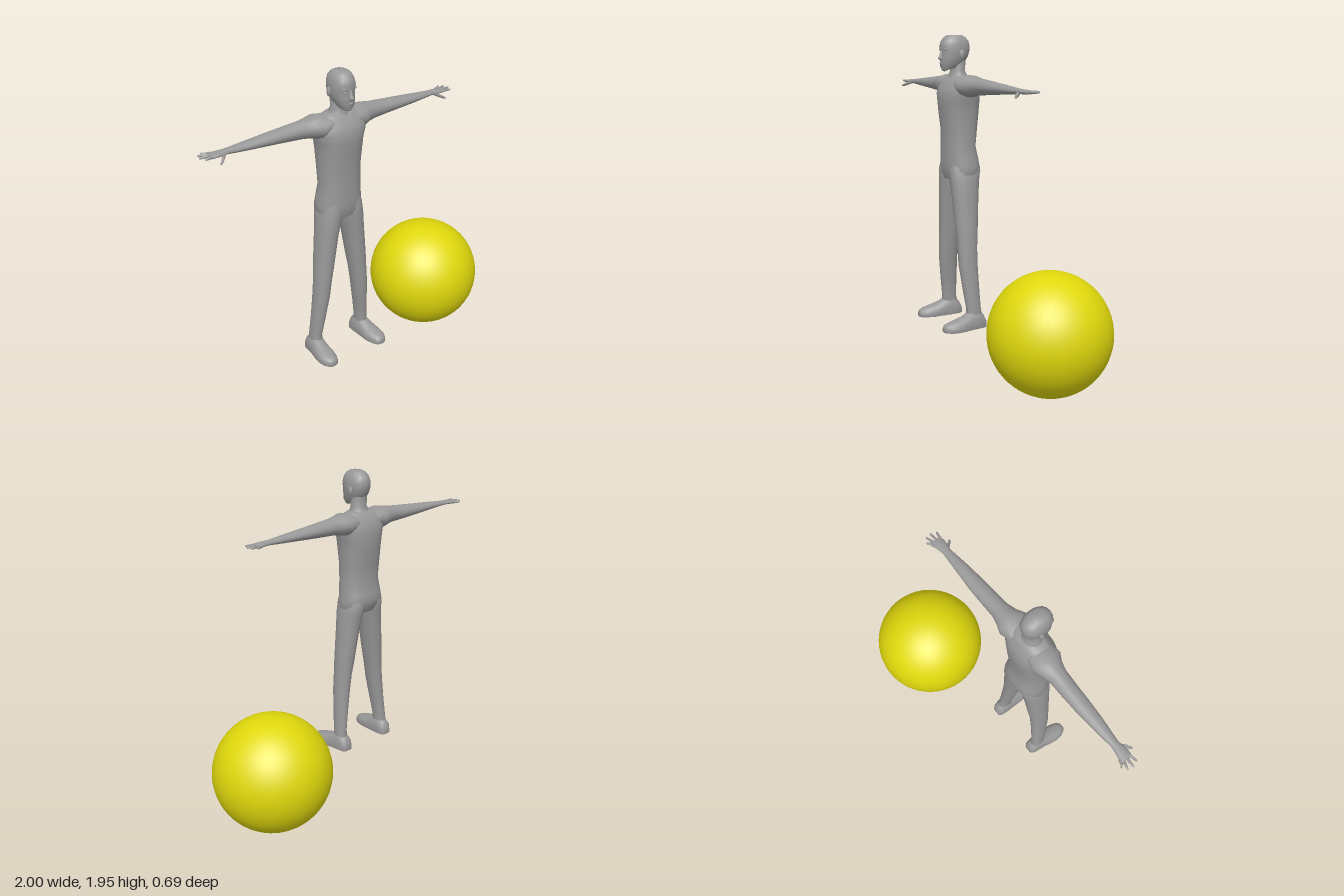
import * as THREE from 'three';
import { toCreasedNormals } from 'three/addons/utils/BufferGeometryUtils.js';

// Skin over rounded cross-sections strung along one axis, with closed ends.
// Ring: [t, a, b, ra, rb, tilt]; (a, b) is the centre in (x,z), (y,z) or (x,y) for axis y, x or z.
function loft(axis, rings, { side = 1, n = 16, power = 1, floor = 0, crease = 1.0 } = {}) {
  const pos = [], idx = [];
  const add = (t, a, b) => {
    const [x, y, z] = axis === 'x' ? [t, a, b] : axis === 'y' ? [a, t, b] : [a, b, t];
    pos.push(x * side, Math.max(y, floor), z);
  };
  const tri = (i, j, k) => (side > 0 ? idx.push(i, j, k) : idx.push(i, k, j));
  const bend = (v) => Math.sign(v) * Math.abs(v) ** power;
  const turn = axis === 'y' ? -1 : 1;
  for (const [t, a, b, ra, rb, tilt = 0] of rings) {
    for (let j = 0; j < n; j++) {
      const q = (j / n) * Math.PI * 2;
      const v = turn * bend(Math.sin(q));
      add(t - tilt * v, a + ra * bend(Math.cos(q)), b + rb * v);
    }
  }
  const last = rings.length - 1;
  for (let k = 0; k < last; k++) {
    for (let j = 0; j < n; j++) {
      const a = k * n + j, b = k * n + ((j + 1) % n);
      tri(a, b, b + n);
      tri(a, b + n, a + n);
    }
  }
  for (const k of [0, last]) {
    const c = pos.length / 3;
    add(rings[k][0], rings[k][1], rings[k][2]);
    for (let j = 0; j < n; j++) {
      const a = k * n + j, b = k * n + ((j + 1) % n);
      if (k) tri(a, b, c);
      else tri(b, a, c);
    }
  }
  const g = new THREE.BufferGeometry();
  g.setAttribute('position', new THREE.Float32BufferAttribute(pos, 3));
  g.setIndex(idx);
  return toCreasedNormals(g, crease);
}

export function createModel() {
  const grey = new THREE.MeshStandardMaterial({ color: 0x999999 });
  grey.name = 'body grey';
  const yellow = new THREE.MeshStandardMaterial({ color: 0xe0d80c });
  yellow.name = 'ball yellow';

  const model = new THREE.Group();
  const figure = new THREE.Group();
  figure.name = 'figure';
  figure.position.x = -0.163;
  model.add(figure);

  const add = (name, geometry, parent = figure) => {
    const m = new THREE.Mesh(geometry, grey);
    m.name = name;
    parent.add(m);
    return m;
  };
  const blob = (name, x, y, z, rx, ry, rz) => {
    const m = add(name, new THREE.SphereGeometry(1, 12, 8));
    m.position.set(x, y, z);
    m.scale.set(rx, ry, rz);
  };

  // Torso from crotch to shoulder line
  add('torso', loft('y', [
    [1.105, 0, 0.147, 0.125, 0.08],
    [1.14, 0, 0.143, 0.139, 0.095],
    [1.18, 0, 0.139, 0.137, 0.103],
    [1.22, 0, 0.142, 0.132, 0.1],
    [1.3, 0, 0.151, 0.124, 0.091],
    [1.4, 0, 0.146, 0.127, 0.096],
    [1.5, 0, 0.147, 0.133, 0.107],
    [1.56, 0, 0.147, 0.14, 0.111],
    [1.61, 0, 0.149, 0.155, 0.11],
    [1.65, 0, 0.147, 0.16, 0.097],
    [1.69, 0, 0.145, 0.145, 0.069],
    [1.715, 0, 0.145, 0.085, 0.05],
  ], { n: 24, power: 0.82 }));

  // Neck leaning forward into the head
  add('neck', loft('y', [
    [1.66, 0, 0.14, 0.1, 0.08],
    [1.705, 0, 0.147, 0.064, 0.058],
    [1.74, 0, 0.152, 0.051, 0.042],
    [1.82, 0, 0.15, 0.05, 0.05],
  ]));

  // Head with the jaw tipped down towards the chin
  add('head', loft('y', [
    [1.757, 0, 0.186, 0.036, 0.058, 0.018],
    [1.782, 0, 0.182, 0.053, 0.077, 0.015],
    [1.82, 0, 0.173, 0.063, 0.085, 0.006],
    [1.85, 0, 0.168, 0.067, 0.087],
    [1.88, 0, 0.169, 0.067, 0.092],
    [1.912, 0, 0.168, 0.06, 0.083],
    [1.934, 0, 0.169, 0.048, 0.064],
    [1.945, 0, 0.17, 0.034, 0.044],
  ], { n: 20, power: 0.92 }));

  // Face
  add('nose', loft('y', [
    [1.803, 0, 0.25, 0.012, 0.015],
    [1.812, 0, 0.257, 0.014, 0.02],
    [1.83, 0, 0.254, 0.009, 0.015],
    [1.86, 0, 0.25, 0.007, 0.009],
  ], { n: 8 }));
  blob('mouth', 0, 1.782, 0.25, 0.019, 0.007, 0.013);
  blob('chin', 0, 1.754, 0.235, 0.023, 0.017, 0.018);

  for (const side of [1, -1]) {
    const tag = side > 0 ? 'left' : 'right';
    const opt = { side };

    blob(tag + 'Brow', side * 0.027, 1.862, 0.241, 0.022, 0.007, 0.012);
    blob(tag + 'Eye', side * 0.026, 1.845, 0.24, 0.012, 0.006, 0.009);
    blob(tag + 'Ear', side * 0.067, 1.835, 0.152, 0.009, 0.027, 0.016);

    // Arm held straight out, tapering to a flat palm
    add(tag + 'Arm', loft('x', [
      [0.07, 1.66, 0.143, 0.048, 0.08],
      [0.14, 1.654, 0.138, 0.065, 0.09],
      [0.185, 1.656, 0.133, 0.057, 0.068],
      [0.24, 1.656, 0.132, 0.049, 0.053],
      [0.33, 1.655, 0.129, 0.042, 0.05],
      [0.43, 1.654, 0.127, 0.034, 0.047],
      [0.55, 1.653, 0.127, 0.025, 0.038],
      [0.64, 1.652, 0.125, 0.018, 0.029],
      [0.69, 1.652, 0.124, 0.014, 0.024],
      [0.73, 1.651, 0.125, 0.013, 0.031],
      [0.765, 1.65, 0.121, 0.012, 0.036],
      [0.785, 1.65, 0.118, 0.009, 0.034],
    ], opt));

    // Fanned fingers: [base z, tip x, tip z]
    [[0.092, 0.803, 0.072], [0.109, 0.83, 0.089], [0.126, 0.837, 0.12], [0.143, 0.823, 0.152]]
      .forEach(([z, tipX, tipZ], i) => add(tag + 'Finger' + (i + 1), loft('x', [
        [0.762, 1.65, z, 0.009, 0.01],
        [0.79, 1.651, z + (tipZ - z) * 0.4, 0.008, 0.008],
        [tipX - 0.006, 1.652, tipZ, 0.006, 0.006],
        [tipX, 1.652, tipZ, 0.003, 0.003],
      ], { side, n: 8 })));
    add(tag + 'Thumb', loft('x', [
      [0.7, 1.648, 0.135, 0.009, 0.012],
      [0.725, 1.637, 0.16, 0.01, 0.013],
      [0.748, 1.625, 0.182, 0.007, 0.009],
      [0.756, 1.622, 0.187, 0.004, 0.004],
    ], { side, n: 8 }));

    // Leg spreading outwards to the ankle
    add(tag + 'Leg', loft('y', [
      [0.27, 0.17, 0.133, 0.036, 0.05],
      [0.34, 0.169, 0.138, 0.033, 0.045],
      [0.45, 0.156, 0.147, 0.036, 0.051],
      [0.6, 0.139, 0.157, 0.044, 0.058],
      [0.7, 0.128, 0.157, 0.048, 0.06],
      [0.8, 0.116, 0.154, 0.055, 0.066],
      [1.0, 0.091, 0.15, 0.06, 0.08],
      [1.1, 0.075, 0.147, 0.069, 0.089],
      [1.17, 0.066, 0.141, 0.066, 0.097],
      [1.21, 0.065, 0.143, 0.055, 0.085],
    ], { side, power: 0.9 }));

    // Foot with a flat sole
    add(tag + 'Foot', loft('z', [
      [0.062, 0.168, 0.235, 0.026, 0.03],
      [0.08, 0.168, 0.235, 0.041, 0.065],
      [0.12, 0.169, 0.235, 0.046, 0.097],
      [0.165, 0.172, 0.235, 0.048, 0.09],
      [0.21, 0.177, 0.235, 0.054, 0.064],
      [0.255, 0.18, 0.235, 0.057, 0.05],
      [0.3, 0.182, 0.235, 0.049, 0.039],
      [0.328, 0.181, 0.235, 0.034, 0.029],
      [0.339, 0.181, 0.235, 0.02, 0.018],
    ], { side, floor: 0.22, power: 0.85, crease: 0.8 }));
  }

  // Large ball beside the figure
  const ball = new THREE.Mesh(new THREE.SphereGeometry(0.346, 48, 32), yellow);
  ball.name = 'ball';
  ball.position.set(0.65, 0.346, 0);
  model.add(ball);

  return model;
}
